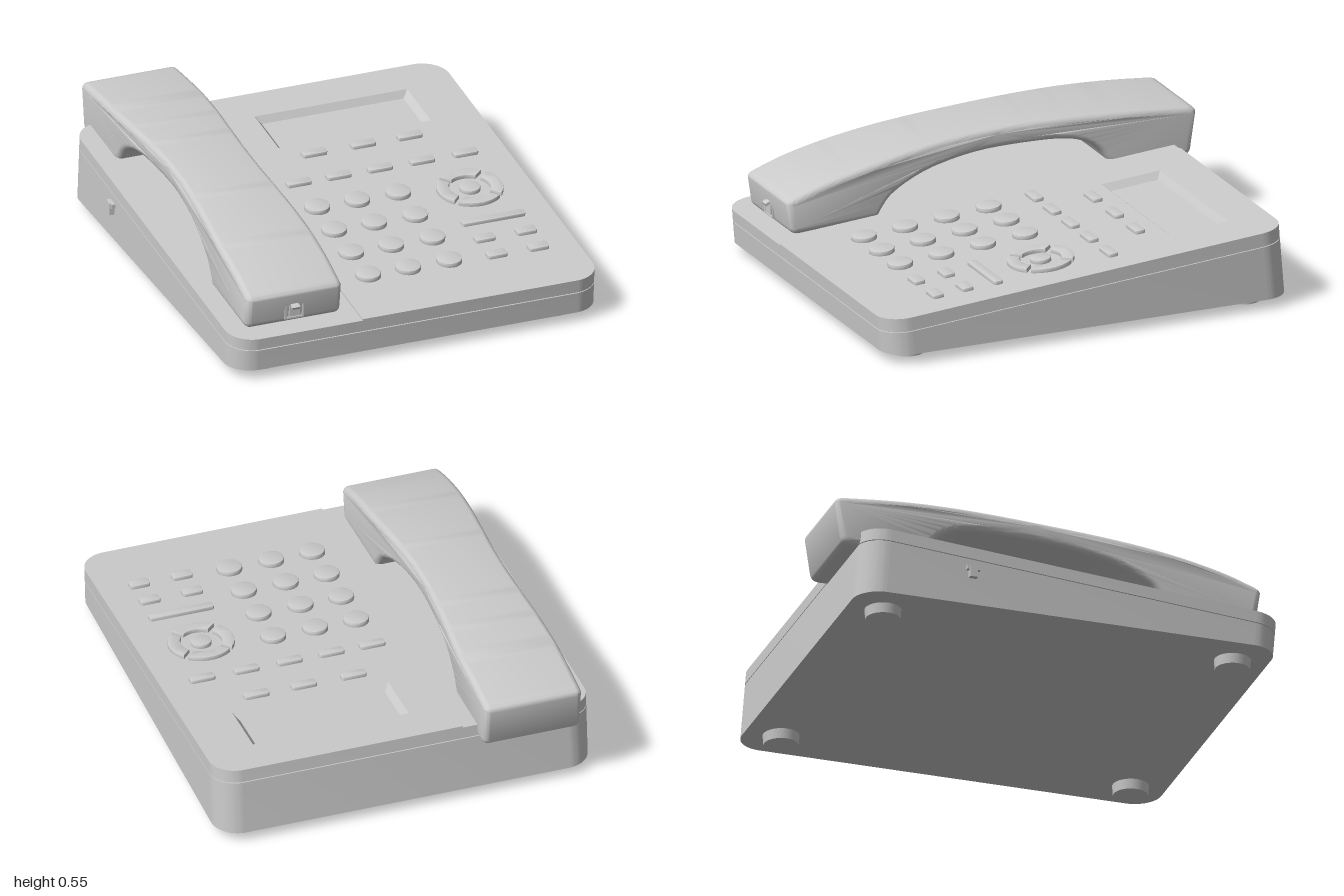
import * as THREE from 'three';
import { toCreasedNormals } from 'three/addons/utils/BufferGeometryUtils.js';

const material = new THREE.MeshStandardMaterial({ color: 0xcccccc, side: THREE.DoubleSide });
const TILT = 0.0818, ORIGIN_Y = 0.287, FLOOR_Y = 0.045;

function add(parent, name, geometry, x = 0, y = 0, z = 0) {
  const mesh = new THREE.Mesh(geometry, material);
  mesh.name = name;
  mesh.position.set(x, y, z);
  parent.add(mesh);
  return mesh;
}

// Rounded rectangle; separate radii for the low-x and high-x corners
function roundRect(x0, x1, z0, z1, rl, rr = rl) {
  const s = new THREE.Shape(), lo = -z1, hi = -z0, H = Math.PI / 2;
  const corner = (x, y, r, start) => r ? s.absarc(x, y, r, start, start + H) : s.lineTo(x, y);
  s.moveTo(x0 + rl, lo);
  corner(x1 - rr, lo + rr, rr, -H);
  corner(x1 - rr, hi - rr, rr, 0);
  corner(x0 + rl, hi - rl, rl, H);
  corner(x0 + rl, lo + rl, rl, 2 * H);
  s.closePath();
  return s;
}

// Flat slab lying in xz, from height y0 to y1, with an optional bevel
function slab(shape, y0, y1, bevel = 0, curveSegments = 12) {
  const g = new THREE.ExtrudeGeometry(shape, {
    depth: y1 - y0 - 2 * bevel, curveSegments,
    bevelEnabled: bevel > 0, bevelSize: bevel, bevelThickness: bevel, bevelOffset: -bevel, bevelSegments: 2,
  });
  g.rotateX(-Math.PI / 2).translate(0, y0 + bevel, 0);
  return toCreasedNormals(g, 0.5);
}

// Sloping wall strips and floor of the display recess
function recess(outer, inner, depth) {
  const loop = ([x0, x1, z0, z1], y) => [[x0, y, z0], [x0, y, z1], [x1, y, z1], [x1, y, z0]];
  const a = loop(outer, 0), b = loop(inner, -depth), p = [];
  const quad = (q, r, s, t) => p.push(...q, ...r, ...s, ...q, ...s, ...t);
  for (let i = 0; i < 4; i++) {
    const j = (i + 1) % 4;
    quad(a[i], a[j], b[j], b[i]);
  }
  quad(...b);
  const g = new THREE.BufferGeometry();
  g.setAttribute('position', new THREE.Float32BufferAttribute(p, 3));
  g.computeVertexNormals();
  return g;
}

function buildBase(root) {
  const deck = new THREE.Group();
  deck.name = 'deskUnit';
  deck.position.y = ORIGIN_Y;
  deck.rotation.x = TILT;
  root.add(deck);
  const L = -0.84, R = 0.86, B = -0.893, F = 1.003, r = 0.12, split = -0.25;

  // Lower body: wedge cut level at the bottom
  let body = slab(roundRect(L, R, B, F, r), -0.4, -0.064);
  const pos = body.attributes.position;
  for (let i = 0; i < pos.count; i++) {
    if (pos.getY(i) < -0.2)
      pos.setY(i, (FLOOR_Y - ORIGIN_Y + pos.getZ(i) * Math.sin(TILT)) / Math.cos(TILT));
  }
  body = toCreasedNormals(body, 0.5);
  add(deck, 'lowerBody', body);
  add(deck, 'seam', slab(roundRect(L + 0.007, R - 0.007, B + 0.007, F - 0.007, r - 0.007), -0.08, -0.05));

  // Top cover: slightly lower handset side, key panel with display opening
  add(deck, 'handsetCover', slab(roundRect(L, split, B, F, r, 0), -0.06, -0.007));
  const panel = roundRect(split, R, B, F, 0, r);
  const screen = [-0.065, 0.64, -0.71, -0.435];
  panel.holes.push(roundRect(...screen, 0));
  add(deck, 'keyPanel', slab(panel, -0.06, 0));
  add(deck, 'displayRecess', recess(screen, [-0.04, 0.615, -0.688, -0.465], 0.03));

  // Rectangular keys
  const key = (name, x, z, w, d) =>
    add(deck, name, slab(roundRect(-w / 2, w / 2, -d / 2, d / 2, 0.012), -0.01, 0.016, 0.004, 4), x, 0, z);
  for (const x of [0.06, 0.285, 0.5]) key('softKey', x, -0.338, 0.112, 0.046);
  for (const x of [-0.095, 0.09, 0.28, 0.475, 0.675]) key('functionKey', x, -0.13, 0.112, 0.046);
  key('barKey', 0.587, 0.413, 0.29, 0.042);
  for (const x of [0.49, 0.682])
    for (const z of [0.555, 0.695]) key('smallKey', x, z, 0.09, 0.052);

  // Round number keys
  const disc = (radius) => new THREE.Shape().absarc(0, 0, radius, 0, Math.PI * 2);
  for (const x of [-0.095, 0.09, 0.28])
    for (const z of [0.085, 0.283, 0.48, 0.675])
      add(deck, 'numberKey', slab(disc(0.056), -0.01, 0.02, 0.005), x, 0, z);

  // Navigation pad: four arc keys around a centre button
  for (let i = 0; i < 4; i++) {
    const mid = i * Math.PI / 2, s = new THREE.Shape();
    s.absarc(0, 0, 0.145, mid - 0.72, mid + 0.72);
    s.absarc(0, 0, 0.09, mid + 0.66, mid - 0.66, true);
    s.closePath();
    add(deck, 'navigationKey', slab(s, -0.01, 0.018, 0.004), 0.585, 0, 0.15);
  }
  add(deck, 'centreKey', slab(disc(0.046), -0.01, 0.018, 0.004), 0.585, 0, 0.15);

  // Feet
  for (const x of [-0.66, 0.69])
    for (const z of [0.83, -0.755])
      add(root, 'foot', new THREE.CylinderGeometry(0.08, 0.076, 0.05, 32), x, 0.025, z);

  // Cord plug on the side
  add(root, 'sidePlug', new THREE.BoxGeometry(0.03, 0.055, 0.035), -0.847, 0.195, -0.41);
  add(root, 'sidePlugClip', new THREE.BoxGeometry(0.02, 0.02, 0.06), -0.848, 0.212, -0.41);
}

function buildHandset(root) {
  // Side profile as (z, y): arched back, then ear and mouth pieces with the grip between
  const s = new THREE.Shape();
  const v = (list) => list.map(([z, y]) => new THREE.Vector2(z, y));
  s.moveTo(0.93, 0.34);
  s.quadraticCurveTo(0.932, 0.358, 0.9, 0.37);
  s.splineThru(v([[0.75, 0.42], [0.5, 0.475], [0.25, 0.513], [0, 0.535], [-0.25, 0.545], [-0.5, 0.543], [-0.75, 0.531], [-0.96, 0.513]]));
  s.quadraticCurveTo(-1.0, 0.508, -0.999, 0.48);
  s.lineTo(-0.975, 0.32);
  s.quadraticCurveTo(-0.968, 0.29, -0.93, 0.29);
  s.lineTo(-0.6, 0.3);
  s.lineTo(-0.575, 0.335);
  s.splineThru(v([[-0.545, 0.375], [-0.49, 0.415], [-0.4, 0.443], [-0.25, 0.451], [0, 0.444], [0.2, 0.412], [0.33, 0.37], [0.43, 0.315], [0.475, 0.265]]));
  s.lineTo(0.5, 0.225);
  s.lineTo(0.87, 0.205);
  s.quadraticCurveTo(0.91, 0.205, 0.914, 0.235);
  s.closePath();

  const half = 0.22, bevel = 0.028;
  const g = new THREE.ExtrudeGeometry(s, {
    depth: 2 * (half - bevel), curveSegments: 6, bevelSize: bevel, bevelThickness: bevel, bevelOffset: -bevel, bevelSegments: 5,
  });
  g.translate(0, 0, bevel - half).rotateY(-Math.PI / 2);
  g.scale(-1, 1, 1);

  // Extruding along z then turning puts the profile along z; waist the grip
  const p = g.attributes.position;
  for (let i = 0; i < p.count; i++) {
    const z = p.getZ(i);
    const waist = 0.5 + 0.5 * Math.cos(Math.PI * Math.min(1, Math.abs(z + 0.02) / 0.72));
    p.setX(i, p.getX(i) * (1 - 0.15 * waist));
  }
  // Restore outward winding after the mirror
  for (let i = 0; i < p.count; i += 3) {
    const a = new THREE.Vector3().fromBufferAttribute(p, i + 1);
    const b = new THREE.Vector3().fromBufferAttribute(p, i + 2);
    p.setXYZ(i + 1, b.x, b.y, b.z);
    p.setXYZ(i + 2, a.x, a.y, a.z);
  }
  const handset = new THREE.Group();
  handset.name = 'handset';
  handset.position.x = -0.535;
  root.add(handset);
  add(handset, 'handsetShell', toCreasedNormals(g, 0.6));

  // Cord socket: frame, plug and clip on the front end
  for (const x of [-0.04, 0.04]) add(handset, 'socketSide', new THREE.BoxGeometry(0.008, 0.075, 0.02), x, 0.268, 0.913);
  for (const y of [0.232, 0.304]) add(handset, 'socketEdge', new THREE.BoxGeometry(0.088, 0.008, 0.02), 0, y, 0.913);
  add(handset, 'cordPlug', new THREE.BoxGeometry(0.05, 0.05, 0.02), 0, 0.265, 0.915);
  add(handset, 'plugClip', new THREE.BoxGeometry(0.036, 0.012, 0.04), 0, 0.292, 0.925).rotation.x = 0.4;
}

export function createModel() {
  const root = new THREE.Group();
  root.name = 'deskPhone';
  buildBase(root);
  buildHandset(root);
  return root;
}
